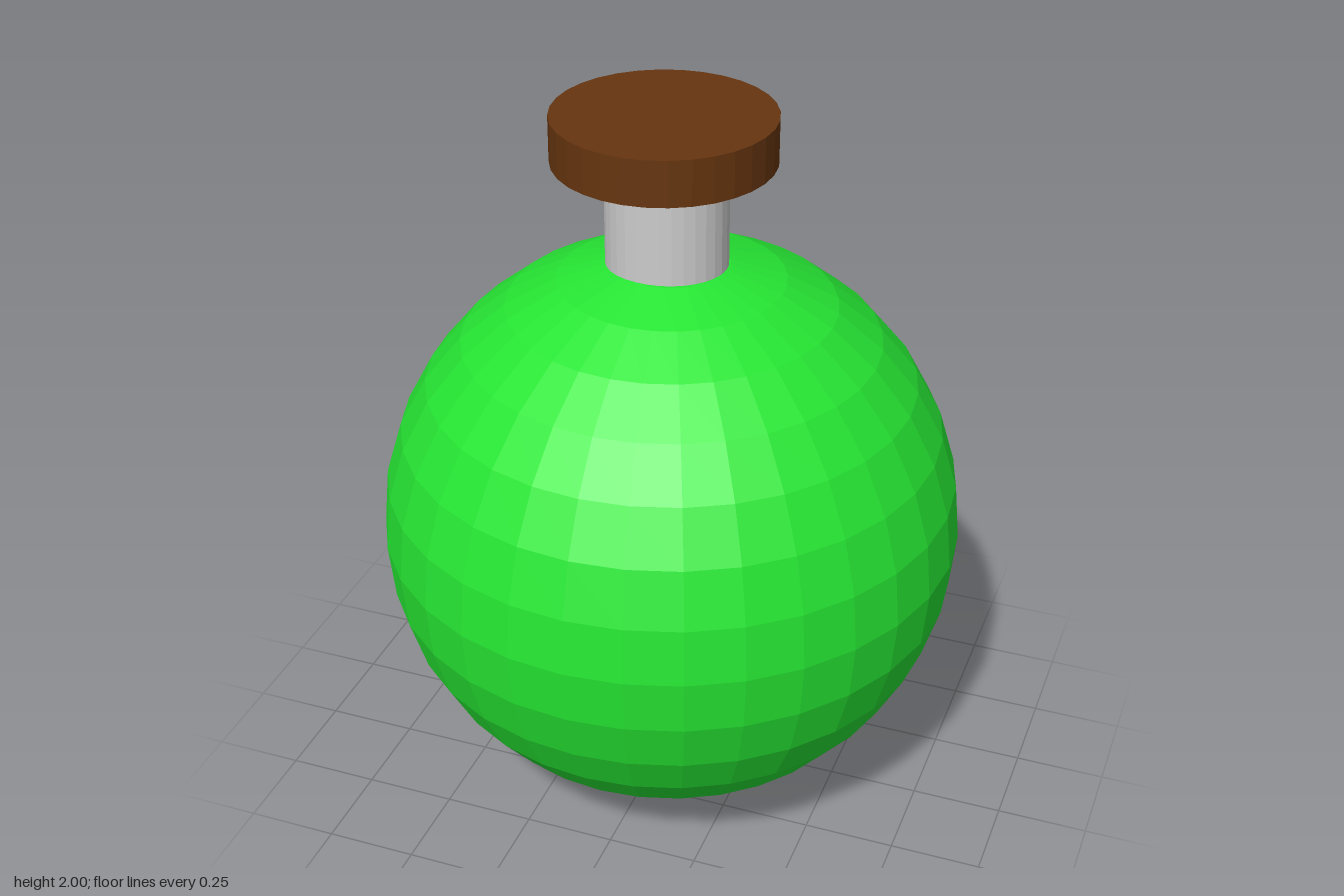
import * as THREE from 'three';

export function createModel() {
  const model = new THREE.Group();
  const add = (name, geometry, color, x, y, z) => {
    const material = new THREE.MeshStandardMaterial({ color, flatShading: true });
    const mesh = new THREE.Mesh(geometry, material);
    mesh.name = name;
    mesh.position.set(x, y, z);
    model.add(mesh);
    return mesh;
  };

  // Round faceted flask body
  add('body', new THREE.SphereGeometry(0.8, 32, 16), 0x26e633, 0, 0.802, 0);

  // Slightly oval neck, sunk into the body
  const neckBottom = 1.57, capBottom = 1.875, top = 2;
  const neck = add('neck', new THREE.CylinderGeometry(1, 1, capBottom - neckBottom, 32),
    0xcccccc, -0.013, (neckBottom + capBottom) / 2, 0);
  neck.scale.set(0.165, 1, 0.151);

  // Wide flat stopper
  add('stopper', new THREE.CylinderGeometry(0.295, 0.295, top - capBottom, 32),
    0x66350f, -0.019, (capBottom + top) / 2, 0.004);

  return model;
}
